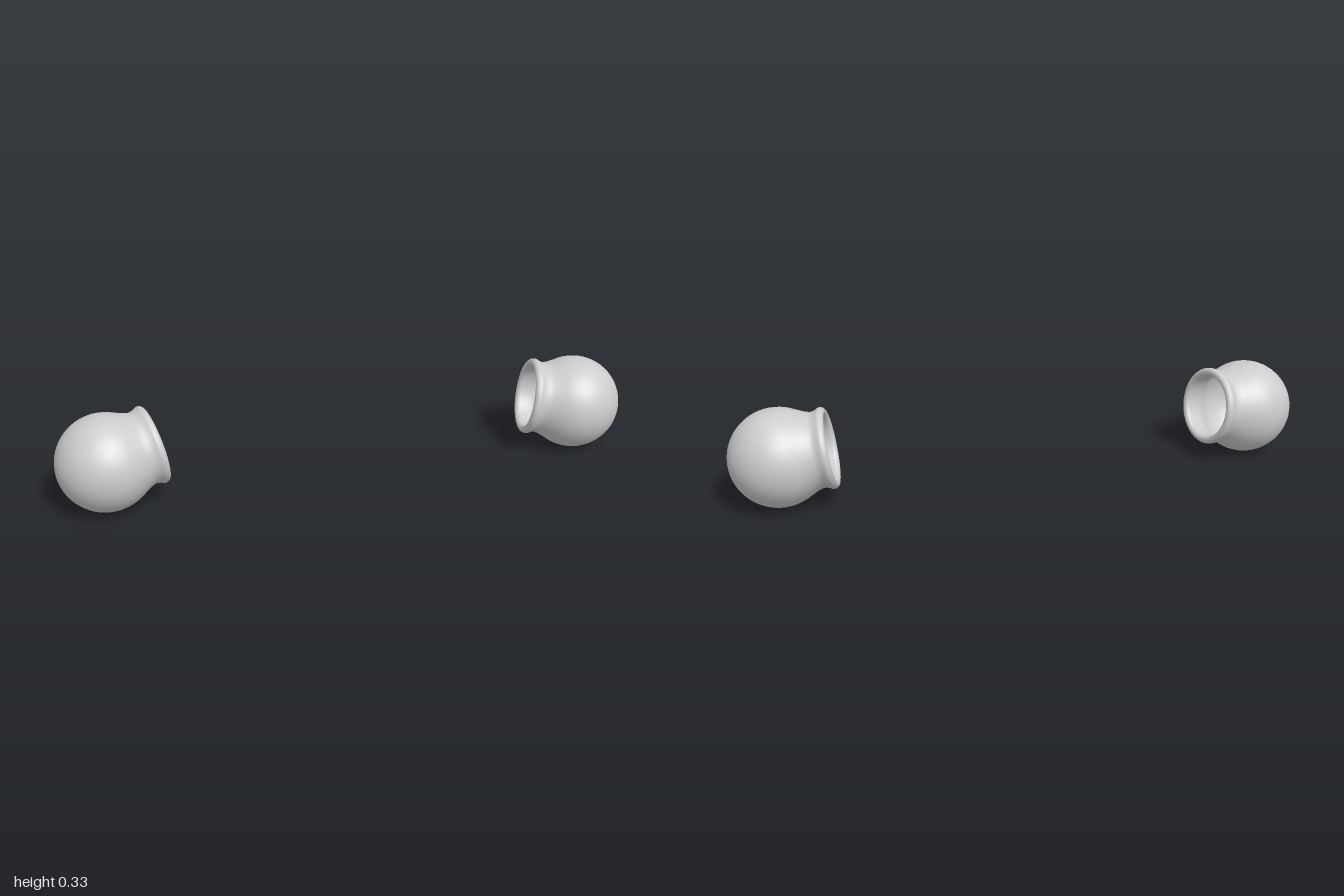
import * as THREE from 'three';

const R = 0.165;

export function createModel() {
  const group = new THREE.Group();
  const material = new THREE.MeshStandardMaterial({ color: 0xcccccc });
  material.name = 'light grey';

  const profile = [];
  const add = (r, d) => profile.push(new THREE.Vector2(r, d));
  // Round fist, from its far pole to the wrist
  for (let i = 0; i <= 20; i++) {
    const a = -Math.PI / 2 + (i / 20) * (Math.PI / 2 + 0.4);
    add(Math.max(R * Math.cos(a), 0), R * Math.sin(a));
  }
  // Narrowing wrist
  add(0.142, 0.085);
  add(0.132, 0.107);
  add(0.126, 0.126);
  add(0.127, 0.136);
  // Rolled rim of the cuff
  for (let i = 0; i <= 10; i++) {
    const a = -0.9 + (i / 10) * (Math.PI + 0.9);
    add(0.122 + 0.014 * Math.cos(a), 0.16 + 0.016 * Math.sin(a));
  }
  // Hollow inside
  add(0.11, 0.13);
  for (let i = 0; i <= 16; i++) {
    const a = 0.75 - (i / 16) * (0.75 + Math.PI / 2);
    add(Math.max(0.155 * Math.cos(a), 0), 0.155 * Math.sin(a));
  }
  const geometry = new THREE.LatheGeometry(profile, 40);

  // Mirrored pair, with cuffs facing inward, up and back
  for (const side of [1, -1]) {
    const glove = new THREE.Mesh(geometry, material);
    glove.name = side > 0 ? 'leftGlove' : 'rightGlove';
    const axis = new THREE.Vector3(-side, 0.17, -0.2).normalize();
    glove.quaternion.setFromUnitVectors(new THREE.Vector3(0, 1, 0), axis);
    glove.position.set(side * 0.835, 0.166, 0);
    group.add(glove);
  }
  return group;
}
